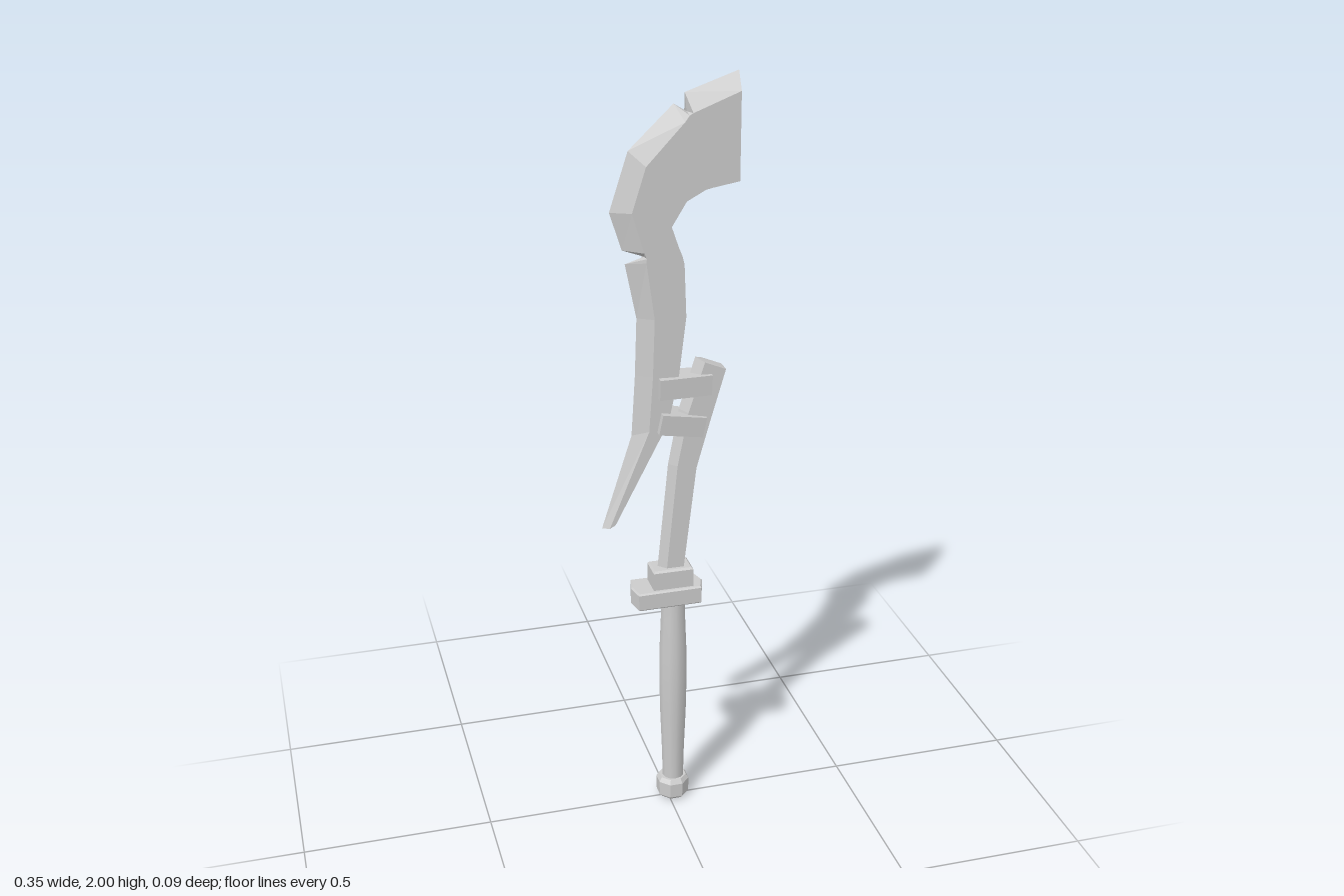
import * as THREE from 'three';

const flat = new THREE.MeshStandardMaterial({ color: 0xcccccc, flatShading: true });
const smooth = new THREE.MeshStandardMaterial({ color: 0xcccccc });

function part(name, geometry, material = flat) {
  const mesh = new THREE.Mesh(geometry, material);
  mesh.name = name;
  return mesh;
}

// Lofts a five-sided blade section: sharp edge, bevel line, flat spine.
// Each station is [edgeX, edgeY, bevelX, bevelY, spineX, spineY].
function bladeGeometry(stations, half) {
  const pos = [], index = [], n = 5;
  for (const [ex, ey, bx, by, sx, sy] of stations) {
    pos.push(ex, ey, 0, bx, by, half, sx, sy, half, sx, sy, -half, bx, by, -half);
  }
  for (let s = 0; s < stations.length - 1; s++) {
    for (let i = 0; i < n; i++) {
      const a = s * n + i, b = s * n + (i + 1) % n;
      index.push(a, b, b + n, a, b + n, a + n);
    }
  }
  const top = (stations.length - 1) * n;
  for (let i = 1; i < n - 1; i++) {
    index.push(0, i + 1, i, top, top + i, top + i + 1);
  }
  const g = new THREE.BufferGeometry();
  g.setAttribute('position', new THREE.Float32BufferAttribute(pos, 3));
  g.setIndex(index);
  const out = g.toNonIndexed();
  out.computeVertexNormals();
  return out;
}

// Box whose depth changes from its left end to its right end
function wedge(w, h, depthLeft, depthRight) {
  const g = new THREE.BoxGeometry(w, h, 1);
  const p = g.attributes.position;
  for (let i = 0; i < p.count; i++) {
    p.setZ(i, p.getZ(i) * (p.getX(i) < 0 ? depthLeft : depthRight));
  }
  g.computeVertexNormals();
  return g;
}

// Horizontal plate cut from an x/z outline
function plate(points, y, height, bevel) {
  const shape = new THREE.Shape(points.map(([x, z]) => new THREE.Vector2(x, z)));
  const g = new THREE.ExtrudeGeometry(shape, {
    depth: height - 2 * bevel, bevelEnabled: true, bevelSegments: 1,
    bevelSize: bevel, bevelThickness: bevel, bevelOffset: -bevel,
  });
  g.rotateX(-Math.PI / 2);
  g.translate(0, y + bevel, 0);
  return g;
}

function lathe(points, sides) {
  return new THREE.LatheGeometry(points.map(([r, y]) => new THREE.Vector2(r, y)), sides);
}

export function createModel() {
  const sword = new THREE.Group();
  sword.name = 'brokenSword';

  // Upper blade with two nicks in its cutting edge
  sword.add(part('upperBlade', bladeGeometry([
    [-0.175, 0.85, -0.16, 0.858, -0.145, 0.866],
    [-0.095, 1.10, -0.055, 1.115, -0.005, 1.135],
    [-0.085, 1.26, -0.045, 1.26, 0.022, 1.26],
    [-0.08, 1.41, -0.04, 1.41, 0.04, 1.41],
    [-0.108, 1.55, -0.06, 1.555, 0.035, 1.545],
    [-0.06, 1.565, -0.059, 1.566, 0.03, 1.565],
    [-0.115, 1.585, -0.065, 1.58, 0.02, 1.59],
    [-0.145, 1.68, -0.095, 1.68, 0.003, 1.64],
    [-0.098, 1.825, -0.06, 1.79, 0.04, 1.70],
    [0.013, 1.93, 0.035, 1.89, 0.087, 1.725],
    [0.045, 1.91, 0.046, 1.905, 0.10, 1.728],
    [0.04, 1.955, 0.055, 1.91, 0.105, 1.729],
    [0.172, 2.0, 0.172, 1.955, 0.172, 1.74],
  ], 0.024)));

  // Lower blade stump
  sword.add(part('lowerBlade', bladeGeometry([
    [-0.03, 0.70, -0.01, 0.70, 0.035, 0.70],
    [0.0, 1.01, 0.02, 1.01, 0.07, 1.0],
    [0.028, 1.16, 0.048, 1.153, 0.105, 1.125],
    [0.07, 1.295, 0.09, 1.285, 0.145, 1.262],
  ], 0.02)));

  // Two straps binding the halves
  for (const [name, x, y, w, angle] of [
    ['upperStrap', 0.038, 1.228, 0.138, -0.03],
    ['lowerStrap', 0.03, 1.125, 0.12, -0.2],
  ]) {
    const strap = part(name, wedge(w, 0.053, 0.085, 0.06));
    strap.position.set(x, y, 0);
    strap.rotation.z = angle;
    sword.add(strap);
  }

  // Guard and collar
  sword.add(part('guard', plate([
    [-0.1, 0], [-0.09, -0.046], [0.08, -0.043], [0.093, 0], [0.08, 0.043], [-0.09, 0.046],
  ], 0.617, 0.05, 0.004)));
  sword.add(part('collar', plate([
    [-0.047, -0.034], [0.06, -0.034], [0.06, 0.034], [-0.047, 0.034],
  ], 0.655, 0.066, 0.005)));

  // Swelling grip
  const grip = part('grip', lathe([
    [0.029, 0.06], [0.031, 0.15], [0.036, 0.28], [0.038, 0.38], [0.037, 0.47], [0.033, 0.57], [0.032, 0.63],
  ], 12), smooth);
  grip.position.x = 0.014;
  sword.add(grip);

  // Faceted pommel
  const pommel = part('pommel', lathe([
    [0, 0], [0.034, 0.004], [0.044, 0.014], [0.045, 0.055], [0.037, 0.067], [0, 0.067],
  ], 8));
  pommel.position.x = 0.013;
  pommel.rotation.y = Math.PI / 8;
  sword.add(pommel);

  return sword;
}
